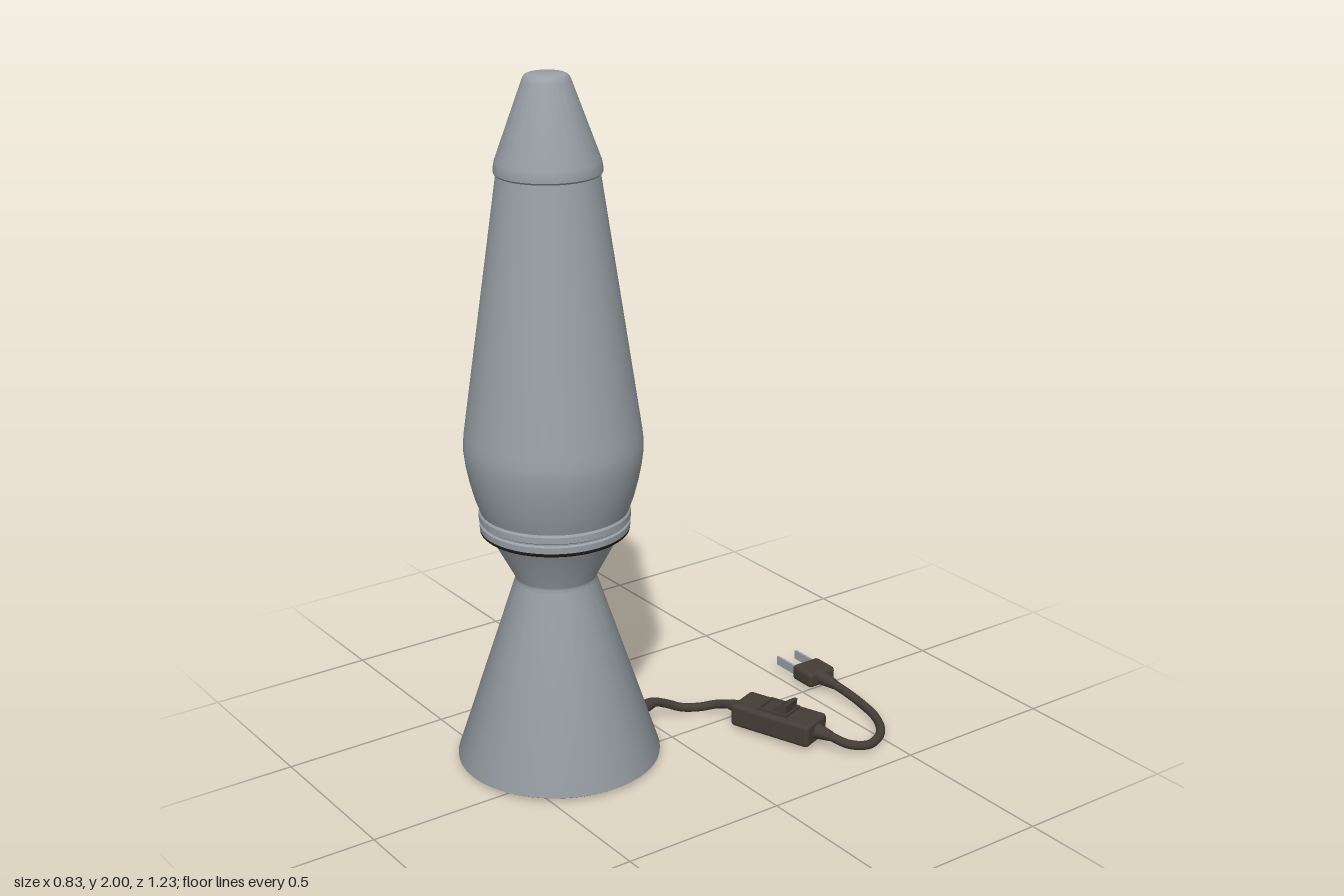
import * as THREE from 'three';
import { toCreasedNormals } from 'three/addons/utils/BufferGeometryUtils.js';
import { RoundedBoxGeometry } from 'three/addons/geometries/RoundedBoxGeometry.js';

const mat = (name, color) => {
  const m = new THREE.MeshStandardMaterial({ color });
  m.name = name;
  return m;
};

export function createModel() {
  const metal = mat('grey metal', 0x9aa1a7);
  const rubber = mat('dark brown rubber', 0x453d36);
  const black = mat('black underside', 0x1c1a19);

  const model = new THREE.Group();
  model.name = 'lavaLamp';

  const add = (parent, name, geometry, material, x = 0, y = 0, z = 0) => {
    const mesh = new THREE.Mesh(geometry, material);
    mesh.name = name;
    mesh.position.set(x, y, z);
    parent.add(mesh);
    return mesh;
  };
  const turned = (name, points, material) => {
    const profile = points.map(([r, y]) => new THREE.Vector2(r, y));
    const geometry = toCreasedNormals(new THREE.LatheGeometry(profile, 72), 0.45);
    return add(lamp, name, geometry, material);
  };

  // Lamp body, turned about its own axis
  const lamp = new THREE.Group();
  lamp.name = 'lamp';
  lamp.position.set(-0.12, 0, 0.32);
  model.add(lamp);

  turned('basePad', [[0, 0], [0.268, 0], [0.268, 0.012]], black);
  turned('base', [
    [0.262, 0.008], [0.288, 0.008], [0.294, 0.012], [0.294, 0.02],
    [0.117, 0.56], [0.116, 0.568], [0.118, 0.576], [0.19, 0.712],
  ], metal);
  turned('collarUnderside', [[0.178, 0.709], [0.207, 0.709], [0.211, 0.713], [0.211, 0.72]], black);
  turned('collar', [
    [0.2, 0.719], [0.212, 0.72], [0.213, 0.738], [0.208, 0.742], [0.208, 0.746],
    [0.214, 0.75], [0.214, 0.768], [0.21, 0.774], [0.2, 0.776],
  ], metal);
  turned('globe', [
    [0.208, 0.77], [0.224, 0.815], [0.237, 0.865], [0.246, 0.91], [0.251, 0.95],
    [0.251, 0.975], [0.248, 1.005], [0.139, 1.745],
  ], metal);
  turned('cap', [
    [0.13, 1.732], [0.143, 1.732], [0.147, 1.737], [0.147, 1.752], [0.144, 1.768],
    [0.067, 1.98], [0.063, 1.99], [0.057, 1.997], [0.05, 2], [0, 2],
  ], metal);

  // Power cord: two runs, joined by the inline switch
  const cord = new THREE.Group();
  cord.name = 'powerCord';
  model.add(cord);

  const run = (name, points) => {
    const curve = new THREE.CatmullRomCurve3(points.map((p) => new THREE.Vector3(...p)));
    add(cord, name, new THREE.TubeGeometry(curve, 64, 0.0135, 12), rubber);
  };
  run('cordFromBase', [
    [-0.12, 0.052, 0.04], [-0.12, 0.062, -0.01], [-0.117, 0.045, -0.06], [-0.105, 0.022, -0.11],
    [-0.08, 0.018, -0.16], [-0.045, 0.03, -0.2], [0, 0.043, -0.216], [0.05, 0.045, -0.234],
  ]);
  run('cordToPlug', [
    [0.28, 0.045, -0.317], [0.335, 0.043, -0.332], [0.385, 0.03, -0.36], [0.404, 0.018, -0.42],
    [0.37, 0.016, -0.495], [0.29, 0.016, -0.55], [0.18, 0.02, -0.574], [0.09, 0.033, -0.57],
    [0.01, 0.035, -0.568],
  ]);

  // Tapered sleeve from a wide end to a narrow end
  const sleeve = (name, from, to, wide, narrow) => {
    const a = new THREE.Vector3(...from), b = new THREE.Vector3(...to);
    const dir = b.clone().sub(a);
    const mesh = add(cord, name, new THREE.CylinderGeometry(narrow, wide, dir.length(), 20), rubber);
    mesh.position.copy(a).lerp(b, 0.5);
    mesh.quaternion.setFromUnitVectors(new THREE.Vector3(0, 1, 0), dir.normalize());
  };
  sleeve('baseSleeve', [-0.12, 0.052, 0.042], [-0.12, 0.06, -0.015], 0.026, 0.016);
  sleeve('switchSleeveIn', [0.045, 0.045, -0.231], [0, 0.043, -0.216], 0.024, 0.015);
  sleeve('switchSleeveOut', [0.285, 0.045, -0.319], [0.335, 0.043, -0.333], 0.024, 0.015);
  sleeve('plugSleeve', [0.01, 0.035, -0.568], [0.072, 0.034, -0.57], 0.023, 0.015);

  // Inline switch with a raised rim and a tipped rocker
  const inline = new THREE.Group();
  inline.name = 'inlineSwitch';
  inline.position.set(0.164, 0, -0.273);
  inline.rotation.y = THREE.MathUtils.degToRad(20);
  cord.add(inline);
  add(inline, 'switchBody', new RoundedBoxGeometry(0.268, 0.07, 0.116, 3, 0.012), rubber, 0, 0.045, 0);
  for (const s of [-1, 1]) {
    add(inline, 'rimSide', new THREE.BoxGeometry(0.1, 0.012, 0.006), rubber, 0, 0.082, s * 0.037);
    add(inline, 'rimEnd', new THREE.BoxGeometry(0.006, 0.012, 0.08), rubber, s * 0.047, 0.082, 0);
  }
  const side = new THREE.Shape([
    [-0.041, 0], [0.041, 0], [0.045, 0.04], [0.035, 0.04], [0, 0.016], [-0.041, 0.008],
  ].map(([x, y]) => new THREE.Vector2(x, y)));
  const rocker = new THREE.ExtrudeGeometry(side, { depth: 0.064, bevelEnabled: false });
  add(inline, 'rocker', rocker, rubber, 0, 0.074, -0.032);

  // Plug with two flat blades
  add(cord, 'plugBody', new RoundedBoxGeometry(0.092, 0.05, 0.102, 4, 0.014), rubber, -0.03, 0.035, -0.568);
  for (const s of [-1, 1]) {
    add(cord, 'plugBlade', new THREE.BoxGeometry(0.1, 0.028, 0.007), metal, -0.115, 0.035, -0.569 + s * 0.036);
  }

  return model;
}
